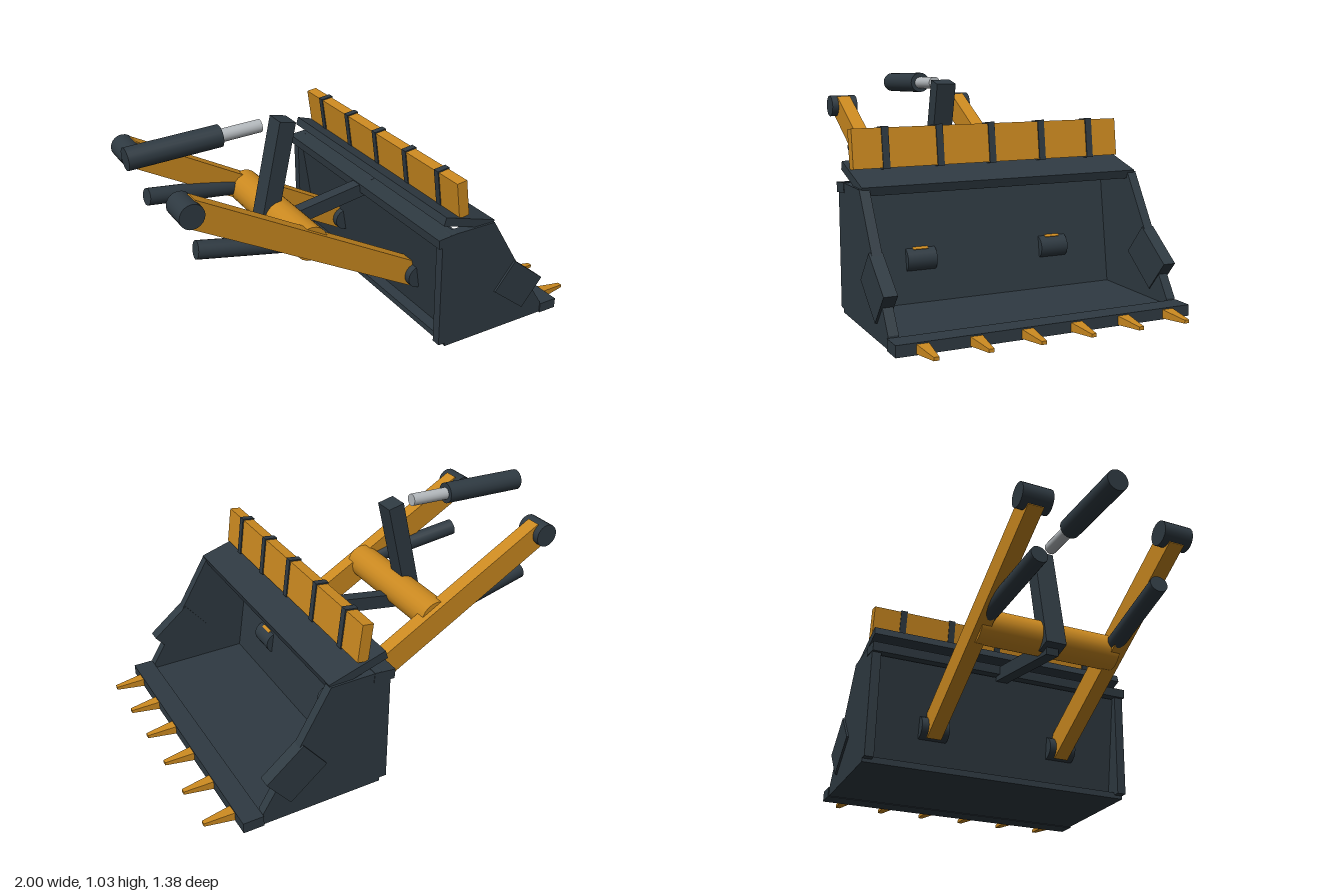
import * as THREE from 'three';

export function createModel() {
  const model = new THREE.Group();
  model.name = 'loaderBucket';
  const mat = (name, color) => {
    const m = new THREE.MeshStandardMaterial({ color });
    m.name = name;
    return m;
  };
  const steel = mat('dark steel', 0x2f3a42);
  const paint = mat('amber paint', 0xcc8a20);
  const chrome = mat('chrome', 0xb4b9bd);

  const add = (name, geometry, material) => {
    const mesh = new THREE.Mesh(geometry, material);
    mesh.name = name;
    model.add(mesh);
    return mesh;
  };
  // Box with its long axis from (x1, y1) to (x2, y2)
  const bar = (name, material, [x1, y1], [x2, y2], height, width, z = 0) => {
    const m = add(name, new THREE.BoxGeometry(Math.hypot(x2 - x1, y2 - y1), height, width), material);
    m.position.set((x1 + x2) / 2, (y1 + y2) / 2, z);
    m.rotation.z = Math.atan2(y2 - y1, x2 - x1);
    return m;
  };
  // Cylinder between two points
  const rod = (name, material, a, b, r) => {
    const p = new THREE.Vector3(...a), q = new THREE.Vector3(...b);
    const d = q.clone().sub(p);
    const m = add(name, new THREE.CylinderGeometry(r, r, d.length(), 20), material);
    m.position.copy(p).add(q).multiplyScalar(0.5);
    m.quaternion.setFromUnitVectors(new THREE.Vector3(0, 1, 0), d.normalize());
    return m;
  };

  // Bucket shell
  bar('floor', steel, [0.2, 0.02], [0.8, 0.02], 0.03, 1.36);
  bar('cuttingEdge', steel, [0.77, 0.027], [0.865, 0.027], 0.05, 1.37);
  bar('backWall', steel, [0.195, 0.54], [0.275, 0.03], 0.03, 1.29);
  bar('rearBeam', steel, [0.135, 0.56], [0.235, 0.57], 0.045, 1.365);
  bar('topPlate', steel, [0.17, 0.66], [0.44, 0.578], 0.04, 1.34);

  const profile = new THREE.Shape([
    [0.165, 0.022], [0.77, 0.015], [0.77, 0.06], [0.595, 0.335],
    [0.44, 0.59], [0.2, 0.59], [0.155, 0.58],
  ].map(([x, y]) => new THREE.Vector2(x, y)));
  const sideGeo = new THREE.ExtrudeGeometry(profile, { depth: 0.045, bevelEnabled: false });
  sideGeo.translate(0, 0, -0.0225);

  for (const s of [1, -1]) {
    // Bucket sides with wear plates
    add('sidePlate', sideGeo, steel).position.z = s * 0.6575;
    bar('wearPlate', steel, [0.523, 0.285], [0.698, 0.145], 0.172, 0.06, s * 0.66);

    // Lift arms, pivot pins and tilted lift cylinders
    const z = s * 0.337;
    bar('liftArm', paint, [-0.88, 0.845], [0.235, 0.222], 0.122, 0.072, z);
    for (const [x, y] of [[-0.88, 0.845], [0.235, 0.225]])
      rod('pivotPin', steel, [x, y, z - 0.07], [x, y, z + 0.07], 0.056);
    rod('liftCylinder', steel, [-0.83, 0.622, s * 0.285], [-0.36, 0.545, s * 0.327], 0.041);
  }

  // Tapered teeth
  for (let i = 0; i < 6; i++) {
    const geo = new THREE.BoxGeometry(0.15, 0.042, 0.056);
    const p = geo.attributes.position;
    for (let v = 0; v < p.count; v++)
      if (p.getX(v) > 0) p.setXYZ(v, p.getX(v), p.getY(v) * 0.35, p.getZ(v) * 0.4);
    geo.computeVertexNormals();
    add('tooth', geo, paint).position.set(0.925, 0.026, (i - 2.5) * 0.229);
  }

  // Spill guard with ribs
  bar('spillGuard', paint, [0.256, 0.825], [0.28, 0.652], 0.052, 1.32);
  for (let i = -2; i <= 2; i++)
    bar('guardRib', steel, [0.256, 0.831], [0.281, 0.647], 0.062, 0.032, i * 0.255);

  // Cross tube, lever and link
  rod('crossTube', paint, [-0.31, 0.53, -0.345], [-0.31, 0.53, 0.345], 0.082);
  bar('tiltLever', steel, [-0.26, 0.993], [-0.38, 0.457], 0.082, 0.1);
  bar('tiltLink', steel, [-0.38, 0.457], [0.228, 0.56], 0.068, 0.06);

  // Tilt cylinder
  rod('tiltCylinder', steel, [-1, 0.963, 0], [-0.572, 0.978, 0], 0.051);
  rod('tiltRod', chrome, [-0.58, 0.976, 0], [-0.375, 0.984, 0], 0.03);

  return model;
}
